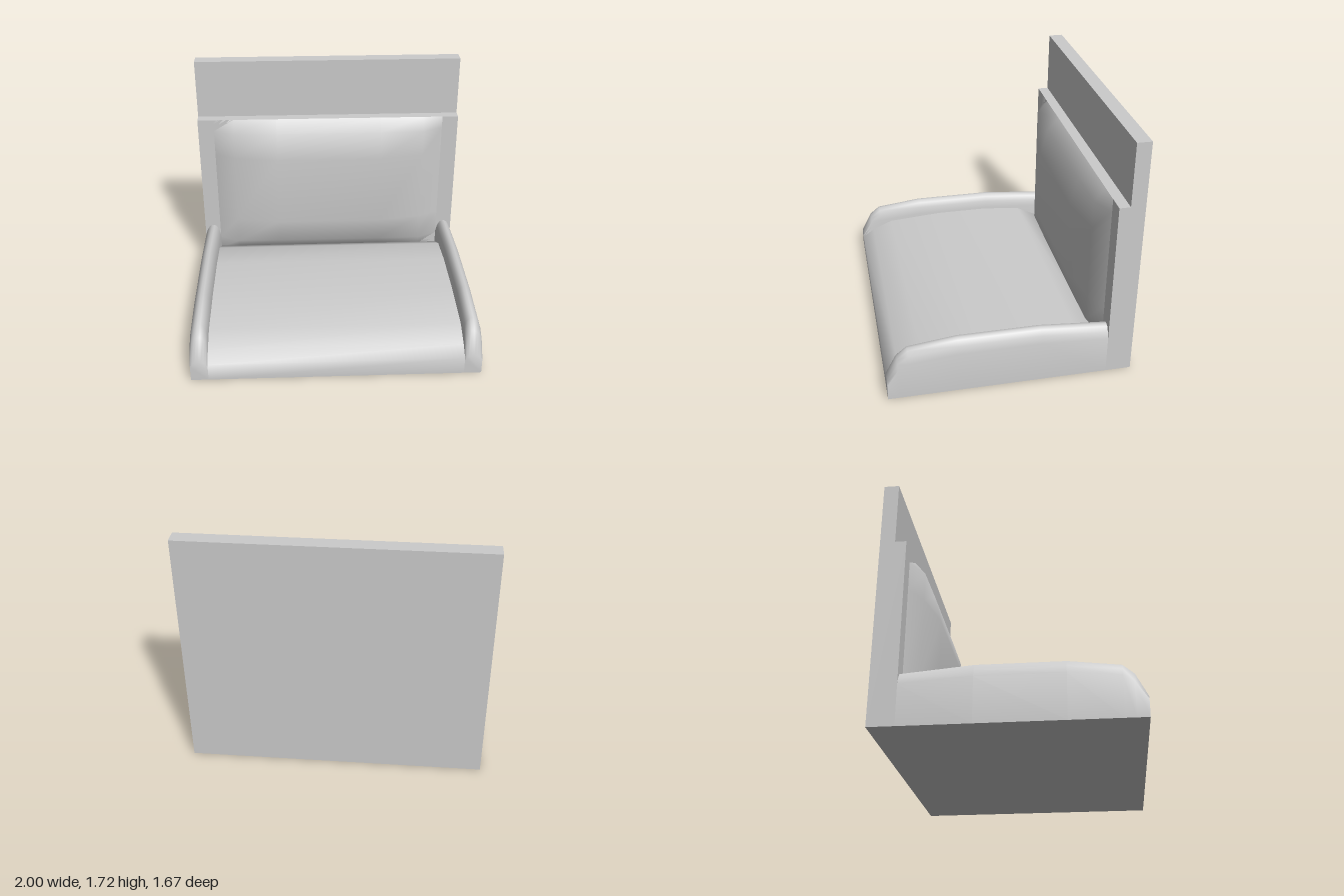
import * as THREE from 'three';
import { toCreasedNormals } from 'three/addons/utils/BufferGeometryUtils.js';

const material = new THREE.MeshStandardMaterial({ color: 0xcccccc });
const FRONT = 0.835, BACK = -0.835, PANEL = -0.66;

function add(group, name, geometry) {
  const mesh = new THREE.Mesh(geometry, material);
  mesh.name = name;
  group.add(mesh);
}

// Side profile of [z, y] points swept across the width, centred on x = 0
function sweepX(profile, width) {
  const shape = new THREE.Shape(profile.map(([z, y]) => new THREE.Vector2(z, y)));
  const geo = new THREE.ExtrudeGeometry(shape, { depth: width, bevelEnabled: false });
  geo.rotateY(-Math.PI / 2).translate(width / 2, 0, 0);
  return toCreasedNormals(geo, 1.2);
}

// Rounded arm: one cross-section scaled in height along z, front to back
function armGeometry(side) {
  const section = [[1, 0], [1, 0.75], [0.985, 0.88], [0.965, 0.97], [0.945, 1], [0.925, 1],
    [0.905, 0.95], [0.89, 0.86], [0.88, 0.73], [0.88, 0]];
  if (side < 0) section.reverse();
  const stations = [[FRONT, 0.15], [0.76, 0.3], [0.69, 0.36], [0.36, 0.4], [-0.2, 0.4], [PANEL, 0.36]];
  const points = [], index = [], n = section.length;
  for (const [z, top] of stations)
    for (const [x, f] of section) points.push(side * x, f * top, z);
  for (let i = 0; i < stations.length - 1; i++)
    for (let j = 0; j < n; j++) {
      const a = i * n + j, b = i * n + (j + 1) % n;
      index.push(a, a + n, b, b, a + n, b + n);
    }
  const last = (stations.length - 1) * n;
  for (let j = 1; j < n - 1; j++) {
    index.push(0, j, j + 1);
    index.push(last, last + j + 1, last + j);
  }
  const geo = new THREE.BufferGeometry();
  geo.setAttribute('position', new THREE.Float32BufferAttribute(points, 3));
  geo.setIndex(index);
  return toCreasedNormals(geo, 1.1);
}

// Padded panel: a flat centre framed by two bevels on every side
function cushionGeometry() {
  const xs = [[-0.88, 0], [-0.73, 0.57], [-0.4, 1], [0.4, 1], [0.73, 0.57], [0.88, 0]];
  const ys = [[1.28, 0], [1.19, 0.6], [0.99, 1], [0.45, 1], [0.25, 0.6], [0.15, 0]];
  const geo = new THREE.PlaneGeometry(2, 2, xs.length - 1, ys.length - 1);
  ys.forEach(([y, fy], r) => xs.forEach(([x, fx], c) =>
    geo.attributes.position.setXYZ(r * xs.length + c, x, y, PANEL + 0.13 * Math.min(fx, fy))));
  geo.computeVertexNormals();
  return geo;
}

export function createModel() {
  const model = new THREE.Group();
  model.name = 'seat';

  // Crowned seat pad, rolling down at the front and behind the cushion
  add(model, 'seatPad', sweepX([
    [PANEL, 0], [FRONT, 0], [FRONT, 0.125], [0.75, 0.185], [0.6, 0.25],
    [0.2, 0.28], [-0.2, 0.28], [-0.48, 0.25], [PANEL, 0.16],
  ], 1.76));

  // Tall thin back with a thicker lower part
  add(model, 'backrest', sweepX([
    [BACK, 0], [PANEL, 0], [PANEL, 1.28], [-0.735, 1.28], [-0.735, 1.72], [BACK, 1.72],
  ], 2));

  add(model, 'backCushion', cushionGeometry());
  add(model, 'leftArm', armGeometry(1));
  add(model, 'rightArm', armGeometry(-1));
  return model;
}
